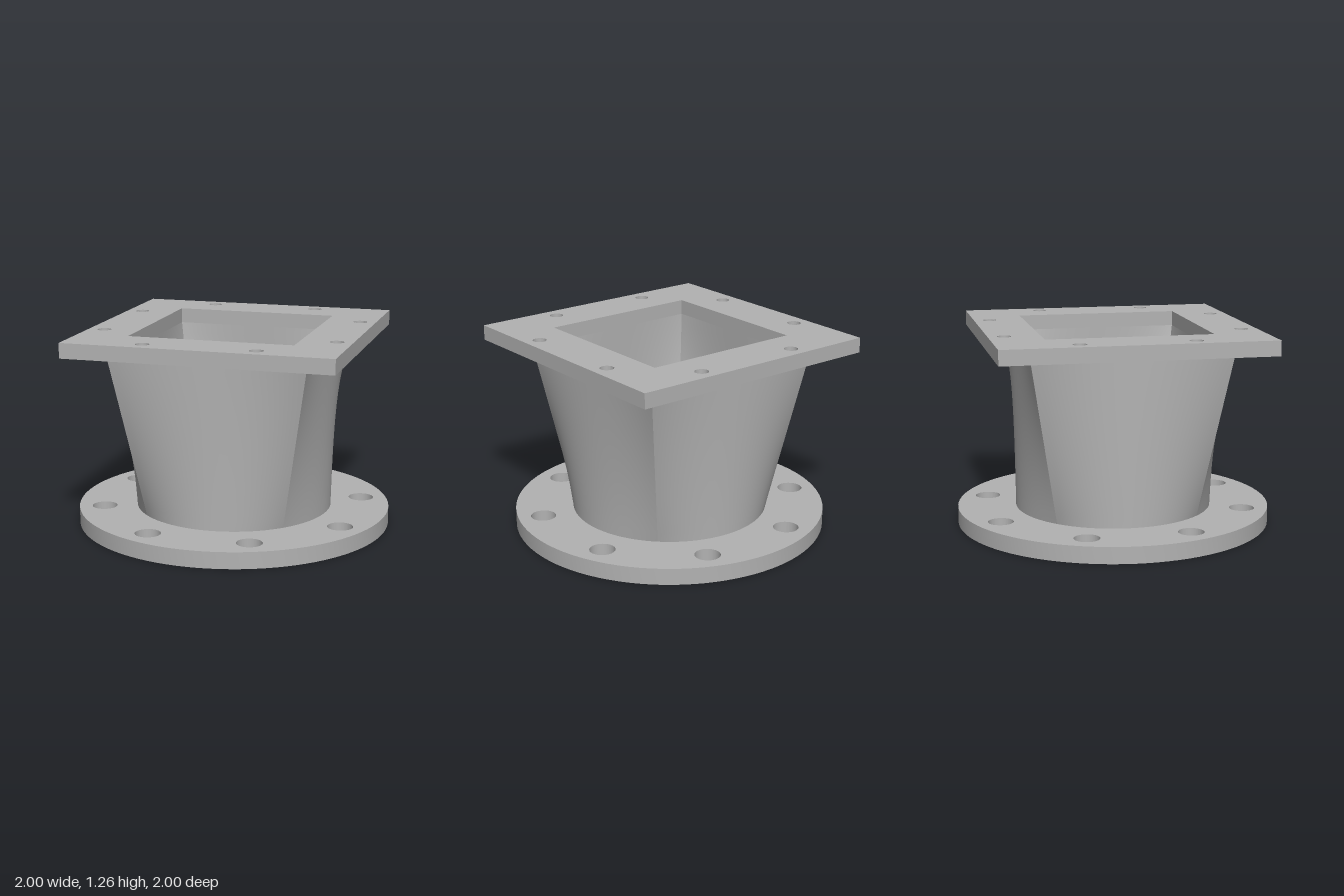
import * as THREE from 'three';
import { toCreasedNormals } from 'three/addons/utils/BufferGeometryUtils.js';

const BASE_TOP = 0.105, PLATE_BOTTOM = 1.17, PLATE_TOP = 1.265;
const BORE = 0.52, OUTER = 0.627;

const steel = new THREE.MeshStandardMaterial({ color: 0xb2b2b2 });
steel.name = 'grey steel';

function circlePath(x, y, r) {
  return new THREE.Path().absarc(x, y, r, 0, Math.PI * 2, true);
}

function squarePoints(h) {
  return [[-h, -h], [h, -h], [h, h], [-h, h]].map(([x, y]) => new THREE.Vector2(x, y));
}

// Flat flange lying on height y
function flange(name, shape, y, thickness) {
  const geo = new THREE.ExtrudeGeometry(shape, { depth: thickness, bevelEnabled: false, curveSegments: 48 });
  geo.rotateX(-Math.PI / 2).translate(0, y, 0);
  const mesh = new THREE.Mesh(toCreasedNormals(geo, 0.6), steel);
  mesh.name = name;
  return mesh;
}

// One quarter of the duct wall: an arc at the bottom ruled to a straight edge at the top
function ductSide(half, inward) {
  const geo = new THREE.PlaneGeometry(2, 1, 24, 16);
  const pos = geo.attributes.position;
  for (let i = 0; i < pos.count; i++) {
    const u = pos.getX(i) * (inward ? -1 : 1);
    const t = pos.getY(i) + 0.5;
    const a = u * Math.PI / 4;
    pos.setXYZ(i,
      half * THREE.MathUtils.lerp(Math.cos(a), 1, t),
      THREE.MathUtils.lerp(BASE_TOP, PLATE_BOTTOM, t),
      -half * THREE.MathUtils.lerp(Math.sin(a), u, t));
  }
  geo.computeVertexNormals();
  return geo;
}

export function createModel() {
  const model = new THREE.Group();
  model.name = 'squareToRoundDuct';

  // Round base flange with bore and eight bolt holes
  const disc = new THREE.Shape().absarc(0, 0, 1, 0, Math.PI * 2, false);
  disc.holes.push(circlePath(0, 0, BORE));
  for (let i = 0; i < 8; i++) {
    const a = (i + 0.5) * Math.PI / 4;
    disc.holes.push(circlePath(0.838 * Math.cos(a), 0.838 * Math.sin(a), 0.08));
  }
  model.add(flange('roundFlange', disc, 0, BASE_TOP));

  // Square top flange with square opening and two bolt holes per side
  const plate = new THREE.Shape(squarePoints(0.84));
  plate.holes.push(new THREE.Path(squarePoints(BORE).reverse()));
  for (const sx of [-1, 1]) {
    for (const sy of [-1, 1]) {
      plate.holes.push(circlePath(sx * 0.35, sy * 0.74, 0.043));
      plate.holes.push(circlePath(sx * 0.74, sy * 0.35, 0.043));
    }
  }
  model.add(flange('squareFlange', plate, PLATE_BOTTOM, PLATE_TOP - PLATE_BOTTOM));

  // Transition duct: four outer and four inner wall quarters
  const duct = new THREE.Group();
  duct.name = 'transitionDuct';
  const outer = ductSide(OUTER, false), inner = ductSide(BORE, true);
  for (let k = 0; k < 4; k++) {
    for (const [geo, name] of [[outer, 'outerWall'], [inner, 'innerWall']]) {
      const wall = new THREE.Mesh(geo, steel);
      wall.name = name + (k + 1);
      wall.rotation.y = k * Math.PI / 2;
      duct.add(wall);
    }
  }
  model.add(duct);
  return model;
}
